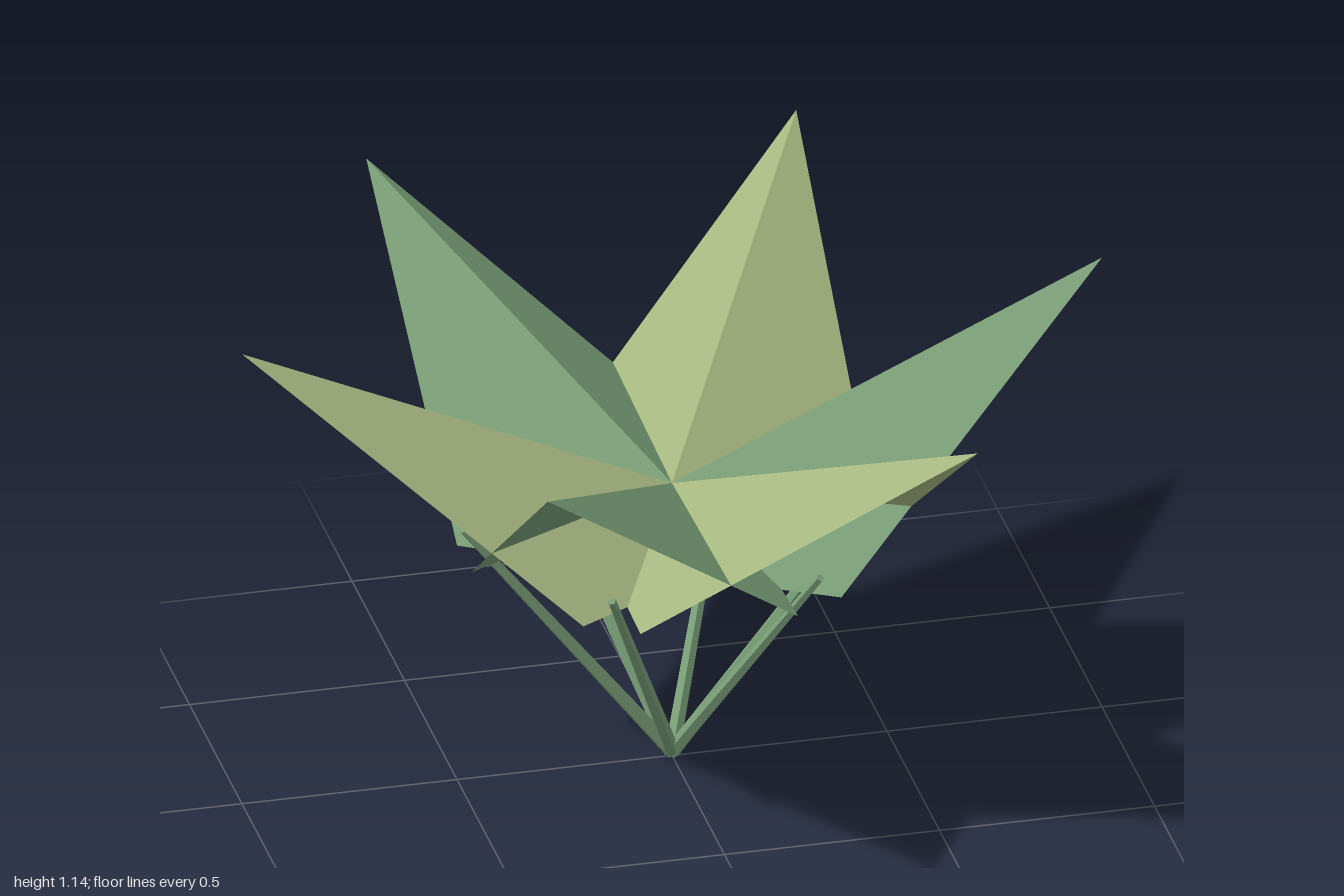
import * as THREE from 'three';

const green = new THREE.MeshStandardMaterial({ color: 0x7a9f78, side: THREE.DoubleSide, flatShading: true });
green.name = 'leaf green';
const olive = new THREE.MeshStandardMaterial({ color: 0xa6b680, side: THREE.DoubleSide, flatShading: true });
olive.name = 'olive green';

// Leaf: two triangles folded along a ridge that runs from the inner point to the tip
function leafGeometry() {
  const tip = [1, 1.145, 0], inner = [-0.33, 0.545, 0];
  const left = [0.3, 0.56, 0.385], right = [0.3, 0.56, -0.385];
  const geometry = new THREE.BufferGeometry();
  geometry.setAttribute('position', new THREE.Float32BufferAttribute(
    [inner, left, tip, inner, tip, right].flat(), 3));
  geometry.computeVertexNormals();
  return geometry;
}

// Stem: tapered rod leaning outwards from the foot
function stemGeometry() {
  const foot = new THREE.Vector3(0, 0.011, 0), end = new THREE.Vector3(0.485, 0.635, 0);
  const axis = end.clone().sub(foot);
  const geometry = new THREE.CylinderGeometry(0.01, 0.018, axis.length(), 5);
  geometry.applyQuaternion(new THREE.Quaternion().setFromUnitVectors(
    new THREE.Vector3(0, 1, 0), axis.normalize()));
  const mid = foot.add(end).multiplyScalar(0.5);
  return geometry.translate(mid.x, mid.y, mid.z);
}

export function createModel() {
  const plant = new THREE.Group();
  plant.name = 'plant';
  const leafShape = leafGeometry(), stemShape = stemGeometry();

  // Six leaves in alternating colours, each over its own stem
  for (let i = 0; i < 6; i++) {
    const frond = new THREE.Group();
    frond.name = 'frond' + (i + 1);
    const leaf = new THREE.Mesh(leafShape, i % 2 ? olive : green);
    leaf.name = 'leaf';
    const stem = new THREE.Mesh(stemShape, green);
    stem.name = 'stem';
    frond.add(leaf, stem);
    frond.rotation.y = -i * Math.PI / 3;
    plant.add(frond);
  }
  return plant;
}
